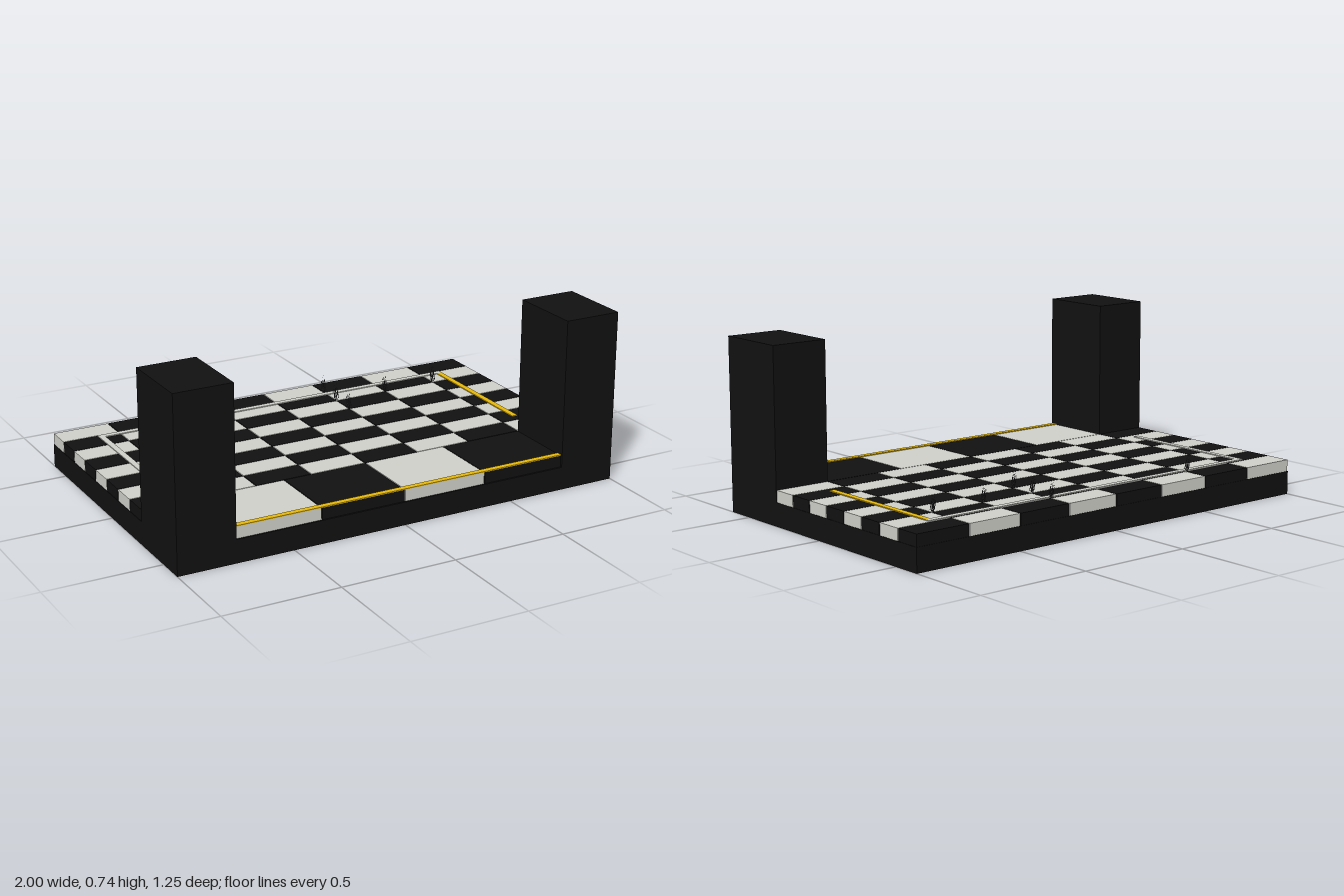
import * as THREE from 'three';

export function createModel() {
  const model = new THREE.Group();
  const paint = (name, color) => {
    const m = new THREE.MeshStandardMaterial({ color });
    m.name = name;
    return m;
  };
  const black = paint('black', 0x111111);
  const pale = paint('pale stone', 0xd0d0ca);
  const gold = paint('gold', 0xe6b80a);
  const grey = paint('dark grey', 0x3c3c3c);

  // Box given by its lower and upper corners
  function box(name, mat, [x0, y0, z0], [x1, y1, z1], parent = model) {
    const mesh = new THREE.Mesh(new THREE.BoxGeometry(x1 - x0, y1 - y0, z1 - z0), mat);
    mesh.position.set((x0 + x1) / 2, (y0 + y1) / 2, (z0 + z1) / 2);
    mesh.name = name;
    parent.add(mesh);
  }

  const back = -0.628, front = 0.625, step = 0.297; // step: where the floor meets the towers
  const low = 0.1, top = 0.15, gap = 0.002;

  // Plinth and the two front towers
  box('plinth', black, [-1, 0, back], [1, low, front]);
  box('leftTower', black, [0.75, 0, step], [1, 0.737, front]);
  box('rightTower', black, [-1, 0, step], [-0.75, 0.737, front]);

  // Checkered floor, 8 by 8
  const floor = new THREE.Group();
  floor.name = 'checkeredFloor';
  model.add(floor);
  const depth = (step - back) / 8;
  for (let row = 0; row < 8; row++) {
    for (let col = 0; col < 8; col++) {
      const x = -1 + col * 0.25, z = back + row * depth;
      box('floorTile', (row + col) % 2 ? black : pale,
        [x + gap, low, z + gap], [x + 0.25 - gap, top, z + depth - gap], floor);
    }
  }

  // Four large tiles between the towers
  for (let i = 0; i < 4; i++) {
    const x = -0.75 + i * 0.375;
    box('entranceTile', i % 2 ? black : pale,
      [x + gap, low, step + gap], [x + 0.375 - gap, top, 0.618], floor);
  }

  // Thin inlaid lines on the floor
  const lineTop = top + 0.004;
  box('frontGoldLine', gold, [-0.75, top, 0.592], [0.75, lineTop, 0.618]);
  box('sideGoldLine', gold, [0.822, top, -0.48], [0.848, lineTop, 0.145]);
  box('sidePaleLine', pale, [-0.848, top, -0.48], [-0.822, lineTop, 0.145]);
  box('backPaleLine', pale, [-0.848, top, -0.506], [0.848, lineTop, -0.48]);

  // Small tufts of thin blades growing from the tile joints, leaning backwards
  const blade = new THREE.ConeGeometry(0.0022, 0.055, 4);
  blade.translate(0, 0.0275, 0);
  const spots = [
    [-0.5, 0], [0.25, 0], [0.25, 1], [0.25, 2], [0.5, 1], [0.75, 1],
  ];
  for (const [x, row] of spots) {
    const tuft = new THREE.Group();
    tuft.name = 'tuft';
    tuft.position.set(x, top, back + (row + 1) * depth);
    for (let i = 0; i < 9; i++) {
      const b = new THREE.Mesh(blade, grey);
      b.name = 'blade';
      b.position.set(((i * 4) % 9 - 4) * 0.002, (i % 5) * 0.006, 0.004 - i * 0.0018);
      b.rotation.x = -0.25;
      tuft.add(b);
    }
    model.add(tuft);
  }
  return model;
}
